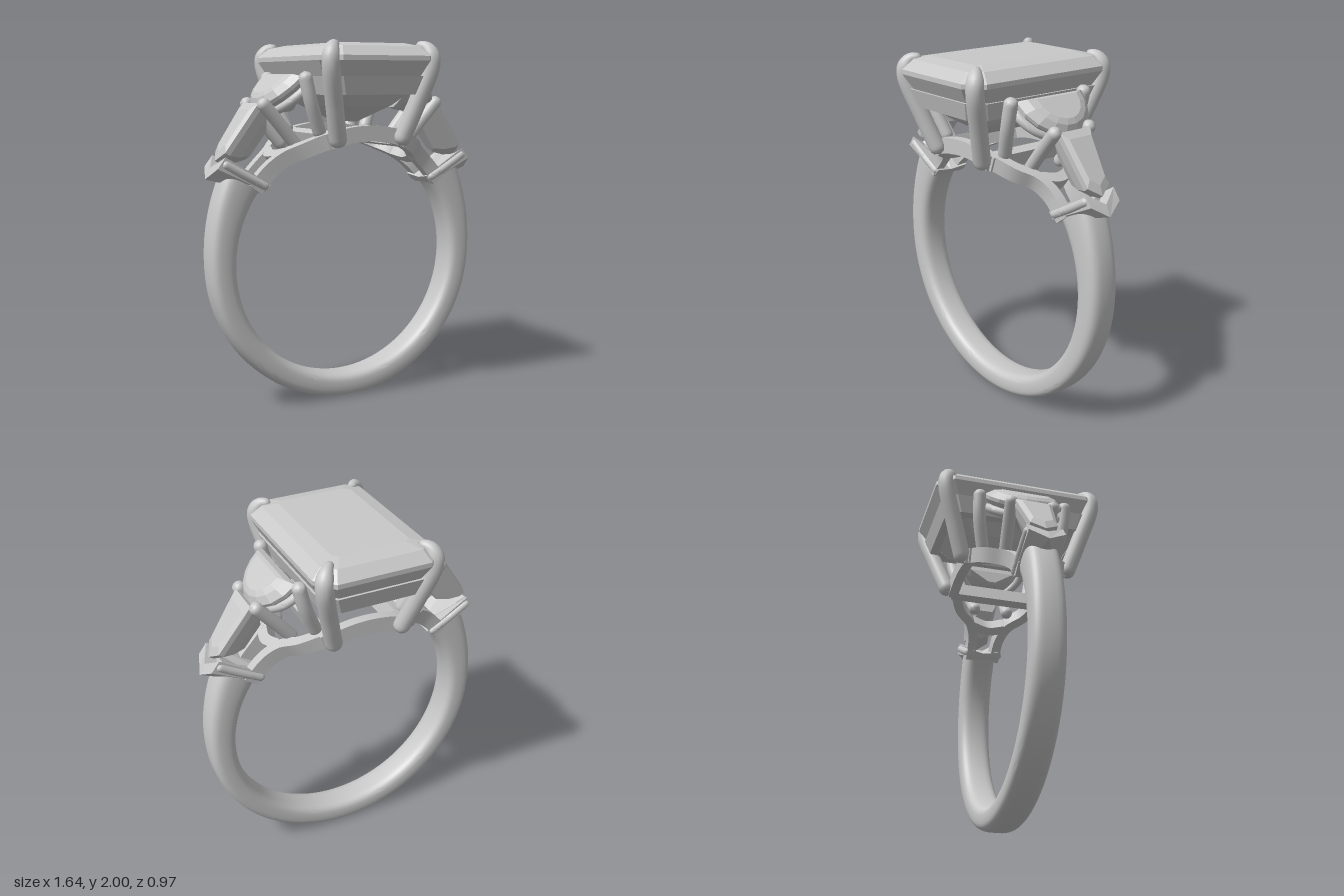
import * as THREE from 'three';
import { toCreasedNormals } from 'three/addons/utils/BufferGeometryUtils.js';

const V = (x, y, z) => new THREE.Vector3(x, y, z);
const CY = 0.805, R = 0.67; // finger hole centre height and radius

// Skin over a list of rings; capped, or joined end to start when looped
function loft(rings, crease, looped = false) {
  const n = rings[0].length, m = rings.length, pts = rings.flat(), idx = [];
  for (let i = 0; i < (looped ? m : m - 1); i++) {
    const a = i * n, b = ((i + 1) % m) * n;
    for (let j = 0; j < n; j++) {
      const k = (j + 1) % n;
      idx.push(a + j, a + k, b + k, a + j, b + k, b + j);
    }
  }
  if (!looped) {
    for (const [ring, base, first] of [[rings[0], 0, true], [rings[m - 1], (m - 1) * n, false]]) {
      const c = pts.length;
      pts.push(ring.reduce((s, p) => s.add(p), V(0, 0, 0)).divideScalar(n));
      for (let j = 0; j < n; j++) {
        const k = (j + 1) % n;
        if (first) idx.push(c, base + k, base + j);
        else idx.push(c, base + j, base + k);
      }
    }
  }
  // turn the skin outward whatever the ring direction was
  let vol = 0;
  for (let i = 0; i < idx.length; i += 3)
    vol += pts[idx[i]].dot(V(0, 0, 0).crossVectors(pts[idx[i + 1]], pts[idx[i + 2]]));
  if (vol < 0) idx.reverse();
  const g = new THREE.BufferGeometry().setFromPoints(pts);
  g.setIndex(idx);
  return toCreasedNormals(g, crease);
}

// Round wire with domed ends; tip < 1 narrows it towards its end
function wire(points, r, tip = 1) {
  const curve = new THREE.CatmullRomCurve3(points), N = 44, len = curve.getLength();
  const f = curve.computeFrenetFrames(N, false), rings = [];
  for (let i = 0; i <= N; i++) {
    const u = i / N, p = curve.getPointAt(u);
    const base = r * (1 - (1 - tip) * THREE.MathUtils.smoothstep(u, 0.8, 1));
    const d = Math.min(u, 1 - u) * len;
    const rr = Math.max(0.002, d < base ? Math.sqrt(base * base - (base - d) ** 2) : base);
    rings.push(Array.from({ length: 14 }, (_, j) => {
      const a = j / 14 * Math.PI * 2;
      return p.clone().addScaledVector(f.normals[i], rr * Math.cos(a)).addScaledVector(f.binormals[i], rr * Math.sin(a));
    }));
  }
  return loft(rings, 1.2);
}

// Flat bar curved around the finger hole, through [x, z] points
function rail(xz, half = 0.028, top = 0.755) {
  const curve = new THREE.CatmullRomCurve3(xz.map(([x, z]) => V(Math.asin(x / R) * 0.71, 0, z)));
  const at = (q, r) => V(r * Math.sin(q.x / 0.71), CY + r * Math.cos(q.x / 0.71), q.z);
  const rings = [];
  for (let i = 0; i <= 20; i++) {
    const p = curve.getPoint(i / 20), t = curve.getTangent(i / 20);
    const side = V(-t.z, 0, t.x).multiplyScalar(half);
    const a = p.clone().add(side), b = p.clone().sub(side);
    rings.push([at(a, R), at(b, R), at(b, top), at(a, top)]);
  }
  return loft(rings, 0.5);
}

const octagon = (hx, hz, cut, y) =>
  [[hx, hz - cut], [hx - cut, hz], [cut - hx, hz], [-hx, hz - cut],
    [-hx, cut - hz], [cut - hx, -hz], [hx - cut, -hz], [hx, cut - hz]].map(([x, z]) => V(x, y, z));

export function createModel() {
  const model = new THREE.Group();
  const metal = new THREE.MeshStandardMaterial({ color: 0xc8c8c8 });
  metal.name = 'pale grey';
  const add = (name, geo) => {
    const mesh = new THREE.Mesh(geo, metal);
    mesh.name = name;
    model.add(mesh);
  };

  // band, thickening towards the shoulders
  const band = [];
  for (let i = 0; i <= 96; i++) {
    const a = -128 + 256 * i / 96, e = Math.abs(a), t = a * Math.PI / 180;
    const ro = 0.805 + 0.015 * (e / 90) ** 2 + 0.06 * Math.max(0, (e - 85) / 43) ** 2;
    band.push(Array.from({ length: 32 }, (_, j) => {
      const b = j / 32 * Math.PI * 2, c = Math.cos(b), s = Math.sin(b);
      const r = (ro + R) / 2 + (ro - R) / 2 * Math.sign(s) * Math.abs(s) ** 0.65;
      return V(r * Math.sin(t), CY - r * Math.cos(t), 0.093 * Math.sign(c) * Math.abs(c) ** 0.6);
    }));
  }
  add('band', loft(band, 0.9));

  // step-cut centre stone
  add('centreStone', loft([
    octagon(0.21, 0.35, 0.03, 1.993), octagon(0.29, 0.43, 0.06, 1.975),
    octagon(0.345, 0.485, 0.09, 1.925), octagon(0.345, 0.485, 0.09, 1.9),
    octagon(0.27, 0.4, 0.07, 1.76), octagon(0.17, 0.29, 0.05, 1.665),
    octagon(0.01, 0.14, 0.004, 1.575)], 0.05));

  // basket frame below the centre stone
  add('basketFrame', loft([
    octagon(0.315, 0.45, 0.08, 1.82), octagon(0.285, 0.42, 0.08, 1.725),
    octagon(0.235, 0.37, 0.07, 1.725), octagon(0.265, 0.4, 0.07, 1.82)], 0.1, true));

  for (const z of [1, -1]) add('galleryFrontBar', rail([[-0.21, 0.27 * z], [0, 0.27 * z], [0.21, 0.27 * z]]));

  for (const s of [1, -1]) {
    const P = (x, y, z) => V(s * x, y, z);

    // faceted stone in a tilted plane: origin, slope along u, normal, levels [height, scale]
    const sideStone = (o, u, n, outline, cu, levels) => loft(levels.map(([h, k]) =>
      outline.map(([a, w]) => {
        const d = cu + (a - cu) * k;
        return P(o[0] + u[0] * d + n[0] * h, o[1] + u[1] * d + n[1] * h, w * k);
      })), 0.05);

    // half-moon stone
    const moon = Array.from({ length: 10 }, (_, i) => {
      const a = i / 9 * Math.PI;
      return [0.24 * Math.sin(a), 0.225 * Math.cos(a)];
    });
    add('halfMoonStone', sideStone([0.36, 1.82], [0.74, -0.67], [0.67, 0.74], moon, 0.09,
      [[0.045, 0.6], [0.032, 0.8], [0, 1], [-0.02, 1], [-0.1, 0.6], [-0.16, 0.1]]));
    add('halfMoonRail', wire(moon.map(([a, w]) =>
      P(0.315 + 0.62 * a, 1.765 - 0.57 * a, 0.9 * w)), 0.025));

    // tapered baguette with a pointed end
    add('baguetteStone', sideStone([0.555, 1.68], [0.57, -0.82], [0.82, 0.57],
      [[0, 0.105], [0.31, 0.075], [0.365, 0], [0.31, -0.075], [0, -0.105]], 0.17,
      [[0.015, 0.72], [0, 1], [-0.03, 1], [-0.09, 0.8], [-0.14, 0.5]]));

    // cross bars of the gallery
    add('galleryCrossBar', rail([[0.2 * s, -0.28], [0.2 * s, 0], [0.2 * s, 0.28]]));
    add('galleryMoonBar', rail([[0.38 * s, -0.1], [0.4 * s, 0], [0.38 * s, 0.1]]));

    for (const m of [1, -1]) {
      // four claws of the centre stone
      add('centreProng', wire([P(0.185, 1.45, 0.3 * m), P(0.245, 1.66, 0.37 * m), P(0.298, 1.87, 0.434 * m),
        P(0.297, 1.93, 0.432 * m), P(0.275, 1.972, 0.41 * m), P(0.235, 1.982, 0.372 * m)], 0.047, 0.45));
      // claws of the side stones
      add('halfMoonProng', wire([P(0.24, 1.5, 0.2 * m), P(0.32, 1.69, 0.245 * m), P(0.36, 1.845, 0.252 * m)], 0.037));
      add('baguetteProng', wire([P(0.32, 1.43, 0.1 * m), P(0.43, 1.56, 0.11 * m), P(0.555, 1.7, 0.12 * m)], 0.036));
      // gallery side rail, from the centre bars down to the shoulder
      add('gallerySideRail', rail([[0.2 * s, 0.25 * m], [0.3 * s, 0.2 * m], [0.37 * s, 0.12 * m],
        [0.44 * s, 0.085 * m], [0.54 * s, 0.075 * m]]));
      // one arm of the V-shaped tip guard
      add('tipGuard', loft([
        [P(0.82, 1.285, 0), P(0.785, 1.345, 0.1 * m), P(0.74, 1.405, 0.1 * m), P(0.79, 1.345, 0)],
        [P(0.53, 1.205, 0), P(0.515, 1.215, 0.105 * m), P(0.485, 1.25, 0.105 * m), P(0.5, 1.235, 0)]], 0.1));
      add('tipGuardEdge', wire([P(0.5, 1.232, 0.095 * m), P(0.63, 1.302, 0.095 * m), P(0.755, 1.375, 0.09 * m)], 0.024));
    }
  }
  return model;
}
